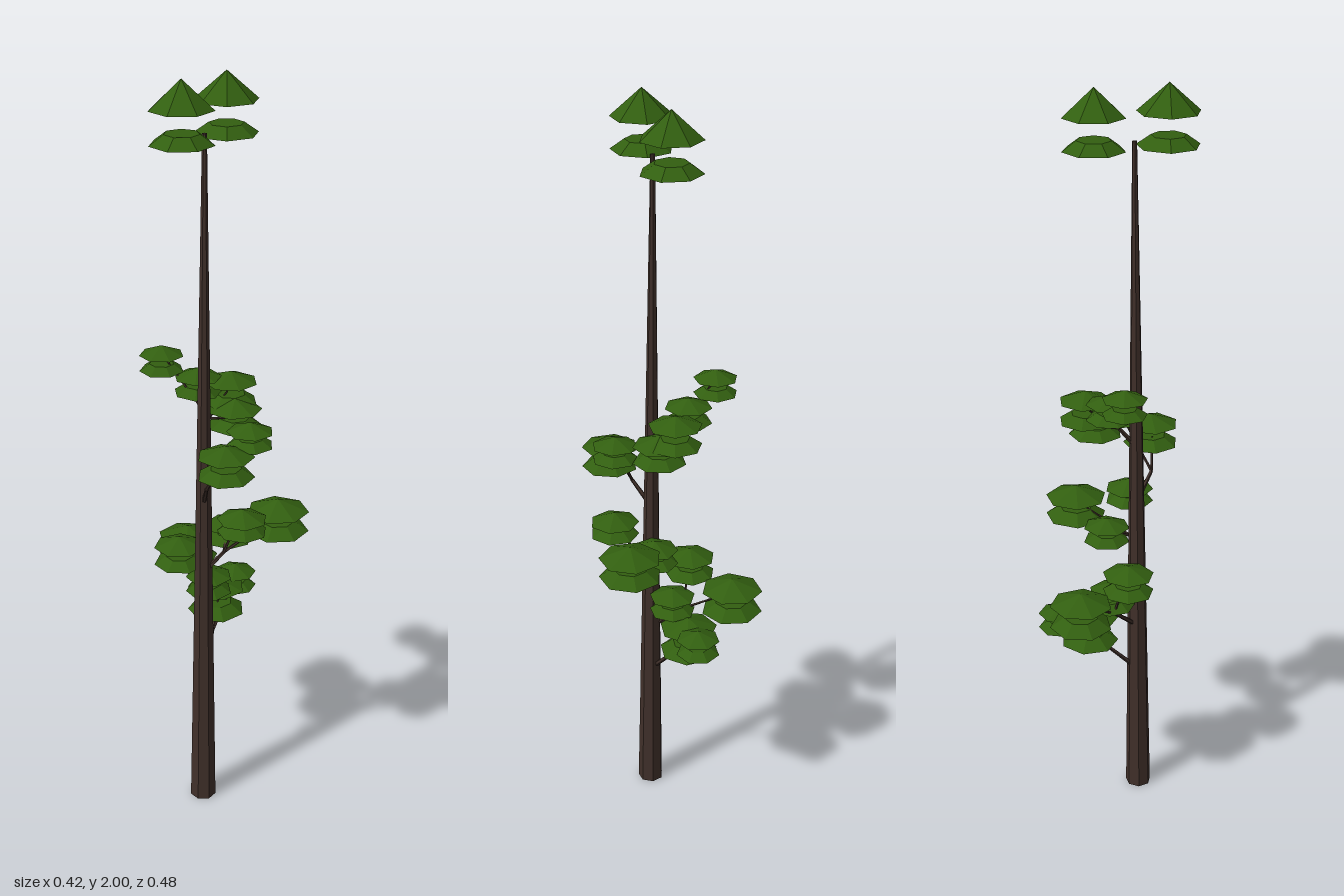
import * as THREE from 'three';

export function createModel() {
  const tree = new THREE.Group();
  tree.name = 'tree';
  const bark = new THREE.MeshStandardMaterial({ color: 0x40302a, flatShading: true });
  bark.name = 'bark';
  const leaf = new THREE.MeshStandardMaterial({ color: 0x325f10, flatShading: true, side: THREE.DoubleSide });
  leaf.name = 'leaf green';
  const V = (x, y, z) => new THREE.Vector3(x, y, z);

  function add(name, geometry, material, parent = tree) {
    const mesh = new THREE.Mesh(geometry, material);
    mesh.name = name;
    parent.add(mesh);
    return mesh;
  }

  // A tapered round piece of wood running between two points
  function limb(name, a, b, ra, rb, sides) {
    const d = b.clone().sub(a);
    const g = new THREE.CylinderGeometry(rb, ra, d.length(), sides);
    const mesh = add(name, g, bark);
    mesh.position.copy(a).add(b).multiplyScalar(0.5);
    mesh.quaternion.setFromUnitVectors(V(0, 1, 0), d.normalize());
  }

  // Slightly leaning trunk
  const foot = V(-0.075, 0, 0.066);
  const tip = V(-0.055, 1.86, 0.048);
  const trunk = add('trunk', new THREE.CylinderGeometry(0.006, 0.035, 1.86, 7), bark);
  const p = trunk.geometry.attributes.position;
  for (let i = 0; i < p.count; i++) {
    const t = p.getY(i) / 1.86 + 0.5;
    const c = foot.clone().lerp(tip, t);
    p.setXYZ(i, p.getX(i) + c.x, c.y, p.getZ(i) + c.z);
  }
  trunk.geometry.computeVertexNormals();

  // Branches: height on the trunk, fork point, then the twig ends
  const branches = [
    [0.38, V(-0.01, 0.47, 0.0), [V(0.03, 0.54, -0.04), V(0.09, 0.57, -0.06)]],
    [0.52, V(-0.04, 0.6, -0.03), [V(-0.01, 0.66, -0.13), V(-0.07, 0.71, -0.04), V(-0.02, 0.63, 0.01)]],
    [0.7, V(-0.03, 0.77, 0.1), [V(0.1, 0.83, 0.1), V(-0.01, 0.88, 0.14), V(0.01, 0.8, 0.045)]],
    [0.9, V(-0.085, 0.97, 0.11), [V(-0.07, 1.05, 0.15), V(0.02, 1.11, 0.14)]],
    [1.06, V(-0.03, 1.12, 0.02), [V(0.04, 1.17, -0.01), V(-0.03, 1.2, -0.04), V(-0.09, 1.25, -0.1), V(0.04, 1.11, 0.03)]],
  ];
  for (const [y, fork, ends] of branches) {
    limb('branch', foot.clone().lerp(tip, y / 1.86), fork, 0.007, 0.005, 5);
    for (const end of ends) limb('twig', fork, end, 0.004, 0.002, 5);
  }

  // Leaf clumps: x, z, radius, cap base y, cap height, lower layer y
  const clumps = [
    [-0.13, 0.078, 0.079, 1.93, 0.07, 1.85],
    [0.03, 0.0, 0.079, 1.92, 0.07, 1.84],
    [-0.098, -0.108, 0.058, 1.262, 0.025, 1.22],
    [-0.03, -0.04, 0.062, 1.212, 0.025, 1.17],
    [0.05, -0.01, 0.07, 1.195, 0.028, 1.14],
    [0.04, 0.03, 0.07, 1.135, 0.028, 1.09],
    [0.02, 0.145, 0.06, 1.122, 0.025, 1.085],
    [-0.06, 0.165, 0.073, 1.08, 0.028, 1.025],
    [-0.005, 0.152, 0.065, 0.885, 0.028, 0.85],
    [0.13, 0.102, 0.082, 0.855, 0.033, 0.8],
    [0.015, 0.045, 0.062, 0.815, 0.025, 0.775],
    [-0.085, -0.045, 0.068, 0.735, 0.027, 0.685],
    [0.0, -0.16, 0.082, 0.688, 0.032, 0.626],
    [-0.02, 0.0, 0.062, 0.648, 0.025, 0.605],
    [0.1, -0.073, 0.058, 0.592, 0.025, 0.55],
    [0.027, -0.045, 0.078, 0.58, 0.03, 0.51],
  ];
  clumps.forEach(([x, z, r, y, h, low], i) => {
    const clump = new THREE.Group();
    clump.name = 'leafClump';
    const cap = add('leafCap', new THREE.ConeGeometry(r, h, 7, 1, true), leaf, clump);
    cap.position.set(x, y + h / 2, z);
    const thick = r * 0.32;
    const layer = add('leafLayer', new THREE.CylinderGeometry(r * 0.55, r, thick, 7), leaf, clump);
    layer.position.set(x, low + thick / 2, z);
    cap.rotation.y = layer.rotation.y = i * 1.3;
    tree.add(clump);
  });

  return tree;
}
